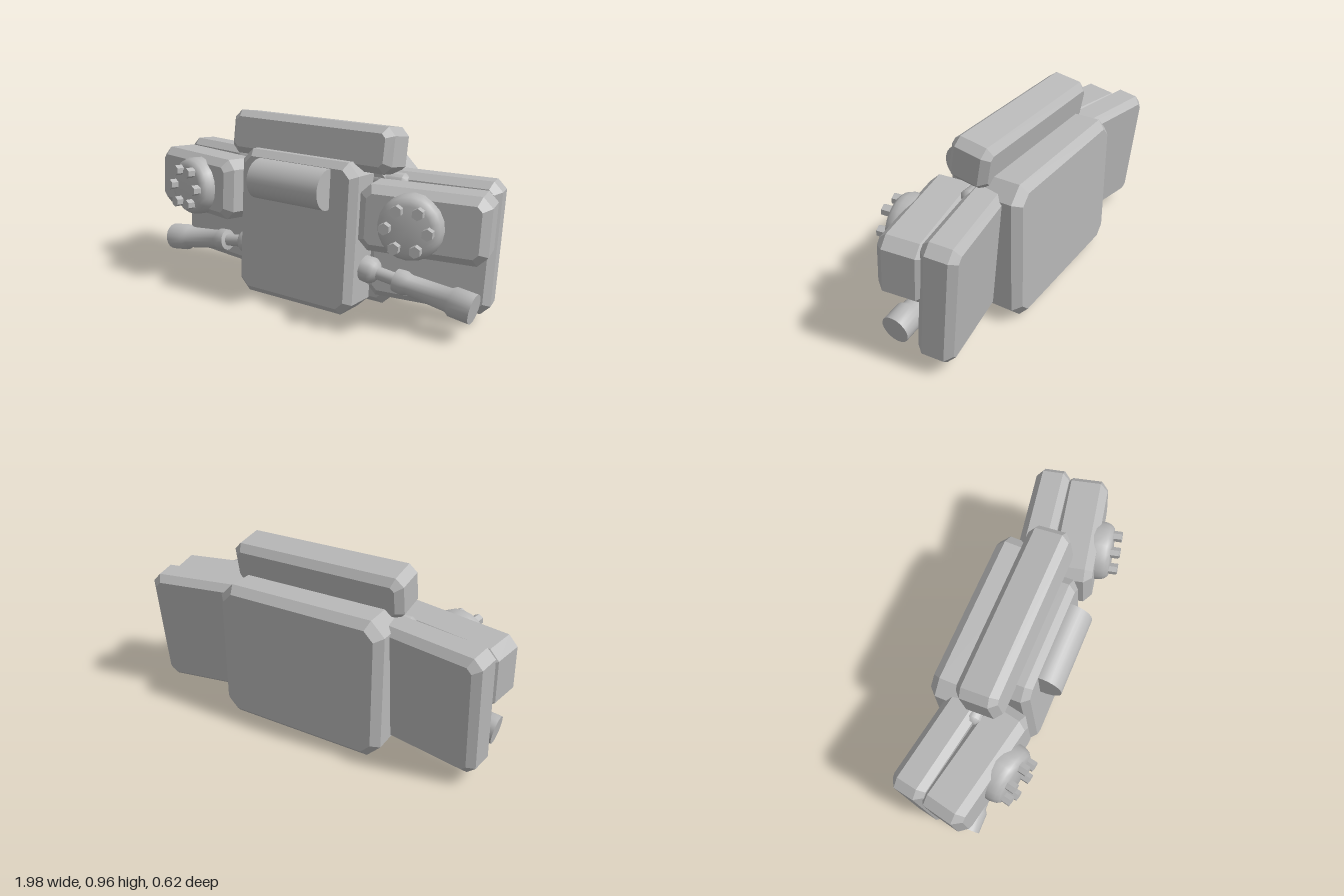
import * as THREE from 'three';
import { toCreasedNormals } from 'three/addons/utils/BufferGeometryUtils.js';

// Box with chamfered corners (c, seen from the front) and bevelled front and back rims (b)
function chamferBox(w, h, d, c, b) {
  const x = w / 2 - b, y = h / 2 - b;
  const shape = new THREE.Shape([
    [x, -y + c], [x, y - c], [x - c, y], [-x + c, y],
    [-x, y - c], [-x, -y + c], [-x + c, -y], [x - c, -y],
  ].map(([px, py]) => new THREE.Vector2(px, py)));
  const geo = new THREE.ExtrudeGeometry(shape, {
    depth: d - 2 * b, bevelEnabled: true, bevelSize: b, bevelThickness: b, bevelSegments: 1,
  });
  geo.translate(0, 0, -(d - 2 * b) / 2);
  return toCreasedNormals(geo, 0.5);
}

// Turned part around y from [radius, height] pairs
function turned(points, segments) {
  const geo = new THREE.LatheGeometry(points.map(([r, y]) => new THREE.Vector2(r, y)), segments);
  return toCreasedNormals(geo, 0.7);
}

export function createModel() {
  const model = new THREE.Group();
  model.name = 'armouredPack';
  const grey = new THREE.MeshStandardMaterial({ color: 0xb8b8b8 });
  grey.name = 'plain grey';

  const add = (parent, name, geo, pos, rot = [0, 0, 0]) => {
    const mesh = new THREE.Mesh(geo, grey);
    mesh.name = name;
    mesh.position.set(...pos);
    mesh.rotation.set(...rot);
    parent.add(mesh);
    return mesh;
  };

  // Central body
  add(model, 'frontPanel', chamferBox(0.7, 0.775, 0.24, 0.04, 0.035), [0, 0.404, 0.075], [-0.08, 0, 0]);
  add(model, 'backBox', chamferBox(0.94, 0.755, 0.295, 0.05, 0.04), [0, 0.4025, -0.158]);
  add(model, 'topBlock', chamferBox(0.965, 0.23, 0.215, 0.02, 0.035), [0, 0.845, -0.03], [-0.175, 0, 0]);
  add(model, 'frontRoll', new THREE.CylinderGeometry(0.103, 0.103, 0.42, 32), [0, 0.663, 0.19], [0, 0, Math.PI / 2]);

  // Shared side geometry
  const wingGeo = chamferBox(0.63, 0.655, 0.18, 0.025, 0.035);
  const armGeo = chamferBox(0.62, 0.325, 0.24, 0.025, 0.04);
  const discGeo = turned([[0, -0.08], [0.15, -0.08], [0.157, -0.03], [0.156, 0.02],
    [0.148, 0.048], [0.132, 0.066], [0.11, 0.072], [0, 0.072]], 20);
  const studGeo = toCreasedNormals(new THREE.CylinderGeometry(0.028, 0.028, 0.06, 6), 0.5);
  const handleGeo = turned([[0, 0], [0.066, 0], [0.068, 0.05], [0.055, 0.07], [0.033, 0.085],
    [0.033, 0.18], [0.058, 0.185], [0.062, 0.23], [0.052, 0.255], [0.06, 0.47],
    [0.074, 0.49], [0.074, 0.595], [0, 0.595]], 20);
  const pinGeo = turned([[0, -0.1], [0.05, -0.1], [0.05, 0.07], [0.035, 0.09], [0, 0.1]], 16);

  for (const s of [1, -1]) {
    const side = s > 0 ? 'left' : 'right';

    // Swept-back rear wing
    add(model, side + 'Wing', wingGeo, [s * 0.64, 0.407, -0.125], [-0.1, s * 0.17, 0]);

    // Front pod with studded disc
    const pod = new THREE.Group();
    pod.name = side + 'Pod';
    pod.position.set(s * 0.672, 0.55, 0.045);
    pod.rotation.set(-0.08, s * 0.2, 0);
    model.add(pod);
    add(pod, side + 'PodBox', armGeo, [0, 0, 0]);
    add(pod, side + 'Disc', discGeo, [s * -0.045, -0.008, 0.122], [Math.PI / 2, 0, 0]);
    for (let i = 0; i < 6; i++) {
      const a = i * Math.PI / 3;
      add(pod, side + 'Stud', studGeo,
        [s * -0.045 + Math.cos(a) * 0.1, -0.008 + Math.sin(a) * 0.1, 0.205], [Math.PI / 2, 0, 0]);
    }

    // Turned handle pointing outward and slightly down
    add(model, side + 'Handle', handleGeo, [s * 0.35, 0.252, 0.07], [0, 0, -s * (Math.PI / 2 + 0.135)]);

    // Small pin under the top block
    add(model, side + 'Pin', pinGeo, [s * 0.43, 0.685, -0.055], [0, 0, -s * Math.PI / 2]);
  }
  return model;
}
